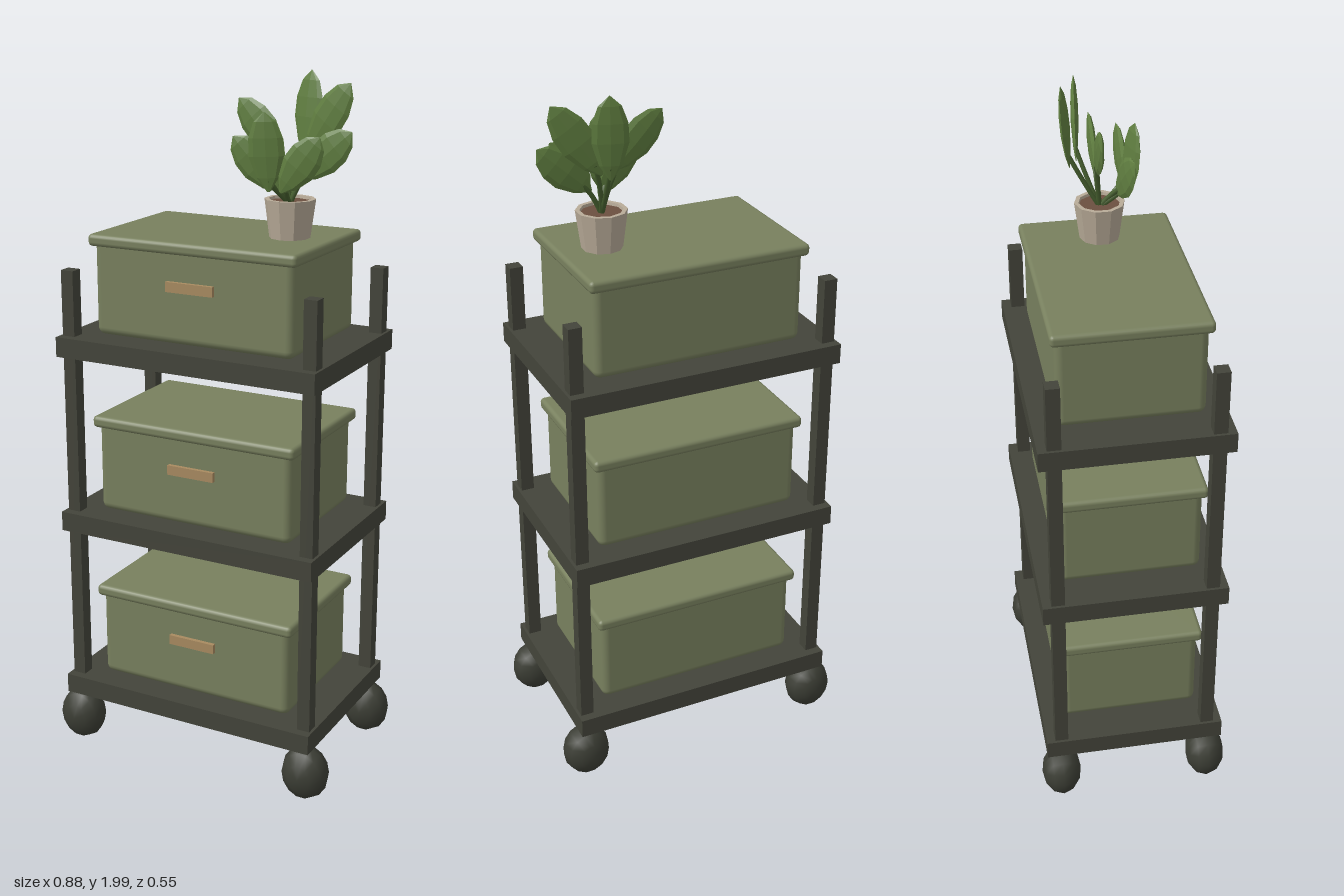
import * as THREE from 'three';
import { RoundedBoxGeometry } from 'three/addons/geometries/RoundedBoxGeometry.js';

const mat = (color, extra = {}) => new THREE.MeshStandardMaterial({ color, ...extra });
const frameMat = mat(0x43443a);
const wheelMat = mat(0x3c3e35);
const binMat = mat(0x78805e);
const handleMat = mat(0xa88a60);
const potMat = mat(0xb8ab98, { flatShading: true, side: THREE.DoubleSide });
const soilMat = mat(0x6b5040);
const leafMat = mat(0x607e40, { flatShading: true });
const stemMat = mat(0x47602f);

function add(parent, name, geometry, material, x = 0, y = 0, z = 0) {
  const mesh = new THREE.Mesh(geometry, material);
  mesh.name = name;
  mesh.position.set(x, y, z);
  parent.add(mesh);
  return mesh;
}

// Lidded storage bin standing on y = 0, handle on the front
function createBin() {
  const bin = new THREE.Group();
  bin.name = 'storageBin';
  add(bin, 'binBody', new RoundedBoxGeometry(0.608, 0.275, 0.4, 3, 0.022), binMat, 0, 0.1375, 0);
  add(bin, 'binLid', new RoundedBoxGeometry(0.634, 0.034, 0.426, 2, 0.012), binMat, 0, 0.267, 0);
  add(bin, 'binHandle', new THREE.BoxGeometry(0.144, 0.028, 0.018), handleMat, 0, 0.162, 0.203);
  return bin;
}

// Pointed leaf with a thin lens section, plus the stem that carries it
function addLeaf(plant, root, base, tip, slant) {
  const b = new THREE.Vector3(...base), t = new THREE.Vector3(...tip);
  const along = t.clone().sub(b), length = along.length();
  const profile = [[0.004, 0], [0.03, 0.18], [0.048, 0.45], [0.046, 0.68], [0.03, 0.88], [0.001, 1]]
    .map(([r, h]) => new THREE.Vector2(r, h * length));
  const yAxis = along.normalize();
  const xAxis = yAxis.clone().cross(new THREE.Vector3(slant, 0, 1)).normalize();
  const zAxis = xAxis.clone().cross(yAxis);
  const geometry = new THREE.LatheGeometry(profile, 8, Math.PI / 2);
  geometry.scale(1, 1, 0.22);
  const leaf = add(plant, 'leaf', geometry, leafMat, ...base);
  leaf.quaternion.setFromRotationMatrix(new THREE.Matrix4().makeBasis(xAxis, yAxis, zAxis));

  const end = b.clone().addScaledVector(yAxis, length * 0.15);
  const mid = root.clone().lerp(b, 0.55);
  mid.y += 0.01;
  const curve = new THREE.QuadraticBezierCurve3(root, mid, end);
  add(plant, 'stem', new THREE.TubeGeometry(curve, 5, 0.007, 6), stemMat);
}

function createPlant() {
  const plant = new THREE.Group();
  plant.name = 'pottedPlant';
  const px = 0.196, py = 1.56;
  const profile = [[0, 0], [0.056, 0], [0.07, 0.105], [0.058, 0.105], [0.055, 0.085]]
    .map(([r, h]) => new THREE.Vector2(r, h));
  add(plant, 'pot', new THREE.LatheGeometry(profile, 10), potMat, px, py, 0);
  add(plant, 'soil', new THREE.CylinderGeometry(0.058, 0.055, 0.01, 10), soilMat, px, py + 0.092, 0);
  const root = new THREE.Vector3(px, 1.65, 0);
  // leaf base, leaf tip, sideways slant of the blade
  [
    [[0.17, 1.77, -0.014], [0.03, 1.92, -0.02], 0],
    [[0.2, 1.77, -0.08], [0.208, 1.995, -0.1], -0.3],
    [[0.215, 1.78, -0.06], [0.345, 1.97, -0.045], -0.15],
    [[0.225, 1.72, -0.003], [0.37, 1.85, -0.002], 0],
    [[0.185, 1.69, 0.045], [0.06, 1.83, 0.072], 0.15],
    [[0.167, 1.69, 0.072], [0.16, 1.9, 0.09], 0.27],
    [[0.2, 1.69, 0.07], [0.31, 1.84, 0.065], 0.15],
  ].forEach(([base, tip, slant]) => addLeaf(plant, root, base, tip, slant));
  return plant;
}

export function createModel() {
  const model = new THREE.Group();
  model.name = 'rollingStorageCart';

  // Three shelves, each with a bin
  for (let i = 0; i < 3; i++) {
    const y = 0.195 + i * 0.5225;
    add(model, 'shelf', new THREE.BoxGeometry(0.796, 0.057, 0.524), frameMat, 0, y, 0);
    const bin = createBin();
    bin.position.y = y + 0.0345;
    model.add(bin);
  }

  // Corner posts and faceted ball wheels
  const wheel = new THREE.SphereGeometry(1, 14, 6);
  wheel.rotateX(Math.PI / 2);
  wheel.scale(0.07, 0.08, 0.058);
  const post = new THREE.BoxGeometry(0.038, 1.285, 0.038);
  for (const sx of [-1, 1]) {
    for (const sz of [-1, 1]) {
      add(model, 'post', post, frameMat, sx * 0.371, 0.8125, sz * 0.218);
      add(model, 'wheel', wheel, wheelMat, sx * 0.372, 0.085, sz * 0.219);
    }
  }

  model.add(createPlant());
  return model;
}
